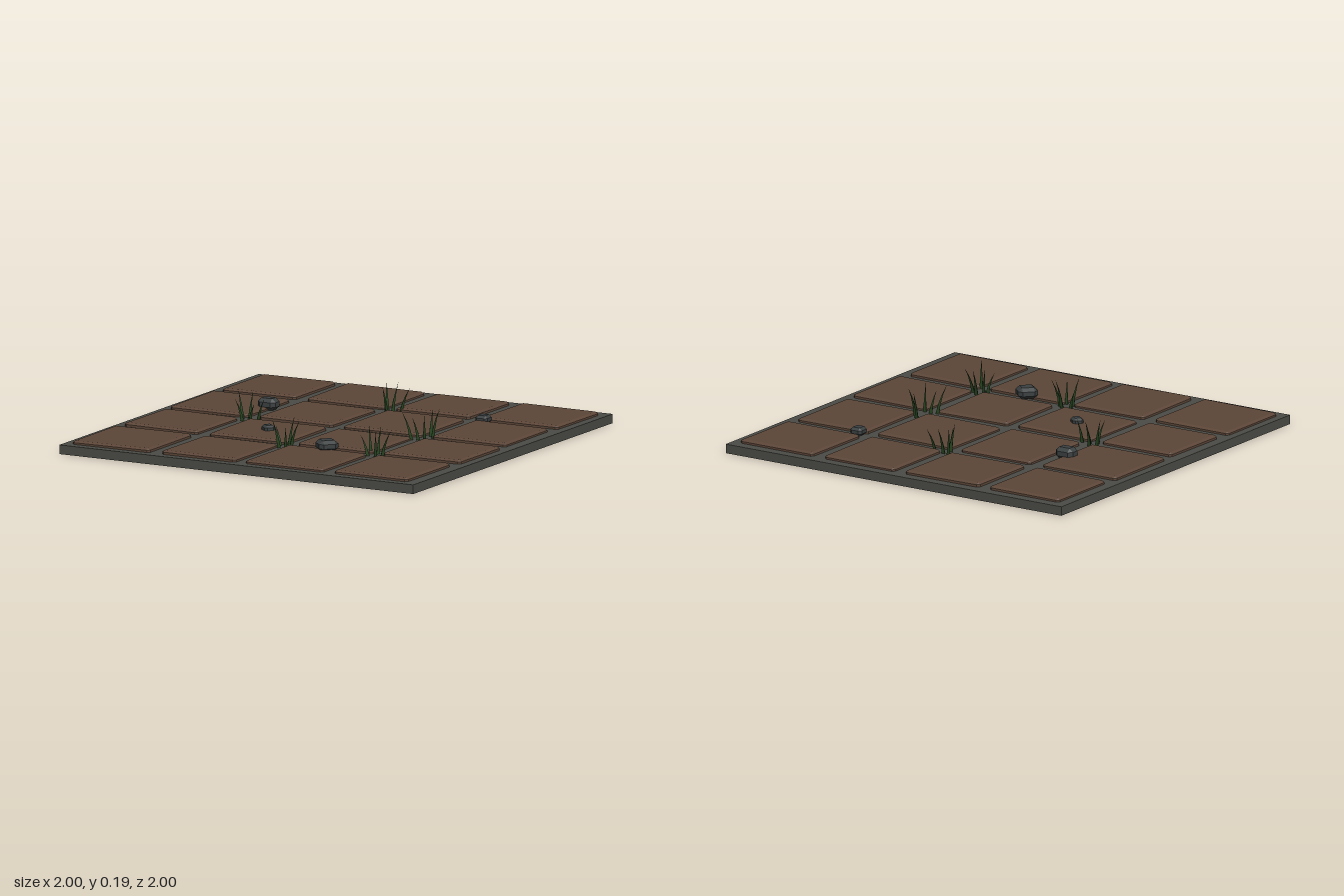
import * as THREE from 'three';
import { ConvexGeometry } from 'three/addons/geometries/ConvexGeometry.js';

const mat = (name, color, extra = {}) => {
  const m = new THREE.MeshStandardMaterial({ color, ...extra });
  m.name = name;
  return m;
};

// Box with flat chamfers on every edge and corner
function chamferBox(w, h, d, bx, by = bx) {
  const pts = [];
  for (const x of [-w / 2, w / 2]) for (const y of [-h / 2, h / 2]) for (const z of [-d / 2, d / 2]) {
    const ix = x - Math.sign(x) * bx, iy = y - Math.sign(y) * by, iz = z - Math.sign(z) * bx;
    pts.push(new THREE.Vector3(x, iy, iz), new THREE.Vector3(ix, y, iz), new THREE.Vector3(ix, iy, z));
  }
  return new ConvexGeometry(pts);
}

// Three-sided blade that curves from its base towards (dx, dz)
function bladeGeometry(height, dx, dz) {
  const g = new THREE.ConeGeometry(0.012, height, 3, 3).toNonIndexed();
  g.translate(0, height / 2, 0);
  const p = g.attributes.position;
  for (let i = 0; i < p.count; i++) {
    const t = p.getY(i) / height, bend = 0.4 * t + 0.6 * t * t;
    p.setX(i, p.getX(i) + dx * bend);
    p.setZ(i, p.getZ(i) + dz * bend);
  }
  g.computeVertexNormals();
  return g;
}

export function createModel() {
  const model = new THREE.Group();
  model.name = 'pavedFloor';
  const mortar = mat('mortar grey', 0x4b4c46);
  const brick = mat('brown tile', 0x5c4638);
  const stone = mat('dark stone', 0x3b4040);
  const green = mat('grass green', 0x26421f);

  const add = (parent, name, geometry, material, x, y, z, ry = 0) => {
    const m = new THREE.Mesh(geometry, material);
    m.name = name;
    m.position.set(x, y, z);
    m.rotation.y = ry;
    parent.add(m);
    return m;
  };

  // Mortar slab
  add(model, 'baseSlab', new THREE.BoxGeometry(2, 0.046, 2), mortar, 0, 0.023, 0);

  // Tiles: alternating rows of slightly different widths, each a little skewed
  const evenX = [[-0.945, -0.53], [-0.467, -0.027], [0.035, 0.453], [0.517, 0.955]];
  const oddX = [[-0.957, -0.52], [-0.452, -0.035], [0.022, 0.464], [0.525, 0.94]];
  const rowsZ = [[-0.945, -0.53], [-0.467, -0.027], [0.04, 0.45], [0.515, 0.953]];
  const tiles = new THREE.Group();
  tiles.name = 'tiles';
  model.add(tiles);
  rowsZ.forEach(([z0, z1], r) => {
    (r % 2 ? oddX : evenX).forEach(([x0, x1], c) => {
      const skew = 0.009 * Math.sin(r * 2.3 + c * 1.7);
      const tile = add(tiles, 'tile', chamferBox(x1 - x0, 0.034, z1 - z0, 0.014, 0.009), brick,
        (x0 + x1) / 2, 0.048, (z0 + z1) / 2, skew);
      tile.rotation.x = 0.006 * Math.sin(r * 3.1 + c * 2.1);
      tile.rotation.z = 0.006 * Math.cos(r * 1.9 + c * 2.7);
    });
  });

  // Loose stones: x, z, width, height, depth, turn
  const stones = [
    [-0.53, -0.265, 0.1, 0.06, 0.08, 0.02],
    [0.556, -0.492, 0.066, 0.042, 0.07, 0.05],
    [-0.243, 0.247, 0.062, 0.036, 0.056, -0.7],
    [0.235, 0.508, 0.1, 0.056, 0.096, 0.82],
  ];
  for (const [x, z, w, h, d, turn] of stones) {
    const onTile = x > -0.5 && x < 0.5;
    add(model, 'stone', chamferBox(w, h, d, w * 0.2, h * 0.3), stone, x, (onTile ? 0.054 : 0.046) + h / 2, z, turn);
  }

  // Grass tufts: centre, then base x, base z, height of every blade
  const tufts = [
    [0.01, -0.5, [[-0.03, -0.045, 0.15], [0.01, -0.035, 0.14], [0.06, -0.04, 0.125], [0, 0.02, 0.14], [0.02, 0.05, 0.1]]],
    [-0.5, 0.01, [[-0.04, -0.02, 0.15], [0, -0.03, 0.14], [-0.01, 0.035, 0.12], [0.025, 0.01, 0.09], [0.075, 0.01, 0.12]]],
    [0.49, -0.01, [[-0.005, -0.08, 0.14], [0.03, -0.04, 0.15], [-0.05, 0.055, 0.15], [-0.015, 0.04, 0.12], [0.03, 0.05, 0.14]]],
    [-0.01, 0.5, [[-0.04, -0.02, 0.1], [0.01, -0.03, 0.15], [0.03, -0.015, 0.14], [-0.02, 0.03, 0.15], [0.03, 0.045, 0.12]]],
    [0.48, 0.48, [[-0.045, -0.05, 0.15], [-0.005, -0.06, 0.14], [0.04, -0.025, 0.13], [-0.03, 0.01, 0.11], [0.045, 0.06, 0.15]]],
  ];
  for (const [x, z, blades] of tufts) {
    const tuft = new THREE.Group();
    tuft.name = 'grassTuft';
    tuft.position.set(x, 0.043, z);
    model.add(tuft);
    blades.forEach(([bx, bz, h], i) => {
      const len = Math.hypot(bx, bz), lean = 0.035 + 0.006 * (i % 3);
      add(tuft, 'grassBlade', bladeGeometry(h, bx / len * lean, bz / len * lean), green, bx * 0.9, 0, bz * 0.9);
    });
  }
  return model;
}
